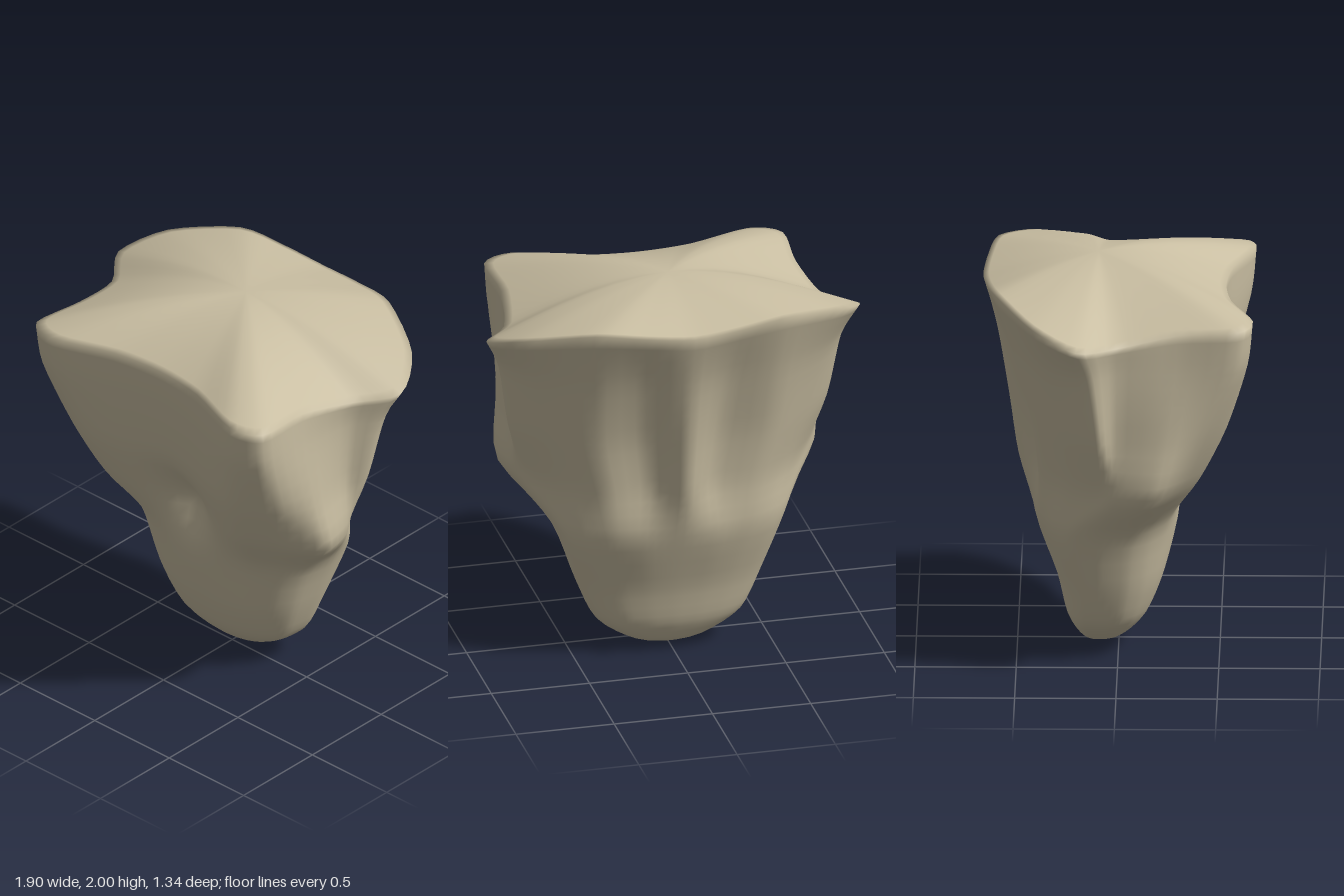
import * as THREE from 'three';
import { mergeVertices } from 'three/addons/utils/BufferGeometryUtils.js';

const V = (x, y, z) => new THREE.Vector3(x, y, z);

// Half of the rim, from back centre round the flare, notch, lobe and front corner to front centre
const RIM = [
  V(0, 1.88, -0.67), V(0.25, 1.9, -0.65), V(0.5, 1.92, -0.6), V(0.82, 1.85, -0.42),
  V(0.95, 1.77, -0.2), V(0.81, 1.75, 0), V(0.75, 1.8, 0.3), V(0.76, 1.82, 0.6),
  V(0.6, 1.83, 0.67), V(0.28, 1.83, 0.56), V(0, 1.83, 0.53),
];
// Half of the waist section at y = 1.25, with a back ridge and a hollow beside it
const WAIST = [
  [0, -0.54], [0.19, -0.43], [0.45, -0.42], [0.66, -0.28], [0.81, -0.1], [0.76, 0],
  [0.79, 0.25], [0.7, 0.44], [0.5, 0.54], [0.23, 0.48], [0, 0.45],
].map(([x, z]) => V(x, 1.25, z));
// Rounded lower sections: height, half width, front z, back z
const LOWER = [
  [0.7, 0.59, 0.3, -0.42], [0.38, 0.47, 0.23, -0.31], [0.17, 0.37, 0.145, -0.26], [0.05, 0.19, 0.03, -0.19],
];

const CROWN = V(0, 2, -0.1);
const TIP = V(0, 0, -0.1);
const COLUMNS = 80;
const WALL_STEPS = 32;
const TOP_STEPS = [1, 0.85, 0.7, 0.55, 0.4, 0.27, 0.15, 0.05];

// Upper wall: the front stays full under the rim, the back draws in sooner
const upperSection = RIM.map((p, i) => {
  const q = p.clone().lerp(WAIST[i], p.z > 0 ? 0.2 : 0.55);
  q.y = 1.6;
  return q;
});

// Lobe base: tapers from the waist except at the side lobes; the front centre sinks into a pit
const lobeSection = WAIST.map((p, i) => {
  const isLobe = i === 5 || i === 6;
  const isPit = i === WAIST.length - 1;
  const z = isPit ? 0.25 : p.z * (p.z > 0 ? 0.75 : 0.92);
  return V(p.x * (isLobe ? 1.01 : 0.86), 0.96, z);
});

// Half of a rounded section, flattened a little at front and back
function roundedSection([y, width, front, back]) {
  return RIM.map((_, i) => {
    const angle = (i / (RIM.length - 1)) * Math.PI;
    const c = Math.cos(angle);
    const depth = (c > 0 ? back : front) - TIP.z;
    return V(width * Math.sin(angle), y, TIP.z + depth * Math.abs(c) ** 0.75);
  });
}

// Mirrors a half section and smooths it into a closed loop of columns
function ring(half) {
  const mirrored = half.slice(1, -1).reverse().map((p) => V(-p.x, p.y, p.z));
  const curve = new THREE.CatmullRomCurve3([...half, ...mirrored], true, 'catmullrom', 0.4);
  return Array.from({ length: COLUMNS }, (_, i) => curve.getPoint(i / COLUMNS));
}

function bodyGeometry() {
  const rim = ring(RIM);
  const rings = [upperSection, WAIST, lobeSection, ...LOWER.map(roundedSection)].map(ring);

  // domed top, from the crown out to the rim
  const rows = TOP_STEPS.map((t) => rim.map((p) => {
    const q = p.clone().lerp(CROWN, t);
    q.y = p.y + (CROWN.y - p.y) * Math.sin(t * Math.PI / 2);
    return q;
  }));

  // wall, from the rim down to the tip
  const columns = rim.map((p, i) => (
    new THREE.CatmullRomCurve3([p, ...rings.map((r) => r[i]), TIP], false, 'catmullrom', 0.4)
  ));
  for (let j = 0; j <= WALL_STEPS; j++) rows.push(columns.map((c) => c.getPoint(j / WALL_STEPS)));

  const index = [];
  const last = rows.length - 2;
  for (let j = 0; j <= last; j++) {
    for (let i = 0; i < COLUMNS; i++) {
      const a = j * COLUMNS + i;
      const b = j * COLUMNS + (i + 1) % COLUMNS;
      const c = b + COLUMNS;
      const d = a + COLUMNS;
      if (j > 0) index.push(a, b, c);
      if (j < last) index.push(a, c, d);
    }
  }
  const geometry = new THREE.BufferGeometry().setFromPoints(rows.flat());
  geometry.setIndex(index);
  const merged = mergeVertices(geometry, 1e-4);
  merged.computeVertexNormals();
  return merged;
}

export function createModel() {
  const bone = new THREE.MeshStandardMaterial({ color: 0xc9bea2 });
  bone.name = 'bone';
  const body = new THREE.Mesh(bodyGeometry(), bone);
  body.name = 'body';
  const group = new THREE.Group();
  group.name = 'boneBlock';
  group.add(body);
  return group;
}
